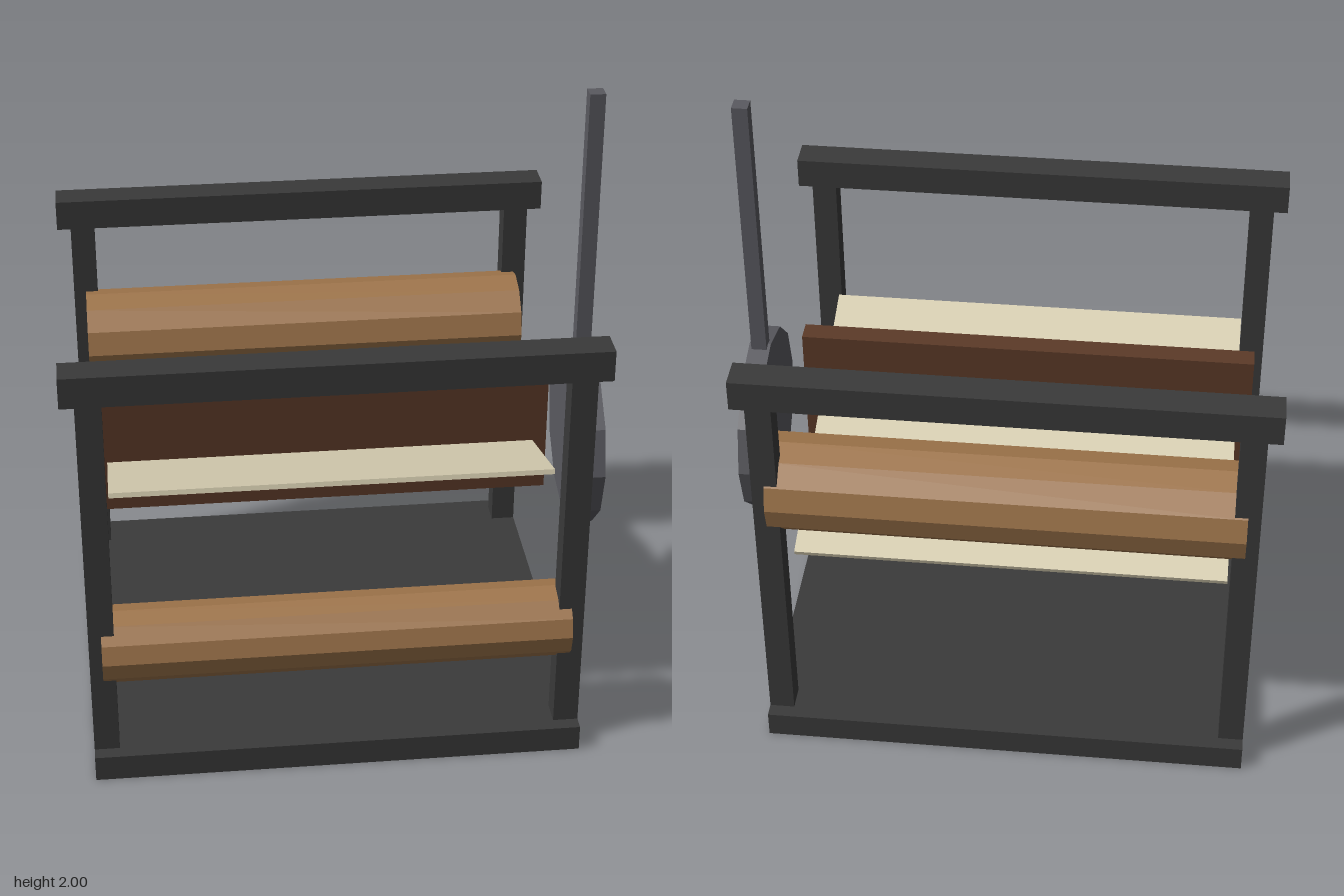
import * as THREE from 'three';

export function createModel() {
  const model = new THREE.Group();
  model.name = 'rollerLoom';

  const material = (name, color) => {
    const m = new THREE.MeshStandardMaterial({ color });
    m.name = name;
    return m;
  };
  const iron = material('dark iron', 0x3a3a3a);
  const steel = material('grey steel', 0x5a5a60);
  const wood = material('roller wood', 0xa0764c);
  const darkWood = material('dark wood', 0x5c3a28);
  const cloth = material('cream cloth', 0xd8cfb2);

  const MID = -0.04; // the frame sits left of centre, leaving room for the wheel

  const add = (name, geometry, mat, x, y, z) => {
    const mesh = new THREE.Mesh(geometry, mat);
    mesh.name = name;
    mesh.position.set(x, y, z);
    model.add(mesh);
    return mesh;
  };
  const box = (name, mat, w, h, d, x, y, z) =>
    add(name, new THREE.BoxGeometry(w, h, d), mat, x, y, z);

  // Twelve-sided faceted drum lying along x
  const drum = (name, mat, radius, length, x, y, z) => {
    const g = new THREE.CylinderGeometry(radius, radius, length, 12).toNonIndexed();
    g.rotateZ(Math.PI / 2);
    g.computeVertexNormals();
    return add(name, g, mat, x, y, z);
  };

  // Frame: base plate, four posts and two top beams
  box('base', iron, 1.56, 0.087, 1.39, MID, 0.0435, 0);
  for (const [end, s] of [['front', 1], ['back', -1]]) {
    box(end + 'LeftPost', iron, 0.08, 1.3, 0.08, MID + 0.74, 0.737, s * 0.61);
    box(end + 'RightPost', iron, 0.08, 1.3, 0.08, MID - 0.74, 0.737, s * 0.61);
    box(end + 'Beam', iron, 1.65, 0.1, 0.1, MID, 1.394, s * 0.61);
  }

  // Rollers
  drum('backRoller', wood, 0.155, 1.48, MID, 0.96, -0.52);
  drum('frontRoller', wood, 0.122, 1.48, MID, 0.437, 0.568);

  // Upright board and the sloping sheet passing through it
  box('board', darkWood, 1.48, 0.435, 0.07, MID, 0.872, 0.087);
  box('sheet', cloth, 1.39, 0.016, 1.04, MID, 0.786, 0).rotation.x = -0.296;

  // Side wheel and its tall lever
  drum('sideWheel', steel, 0.305, 0.07, 0.829, 0.787, 0);
  box('lever', steel, 0.05, 1.2, 0.05, 0.829, 1.4, 0);

  return model;
}
